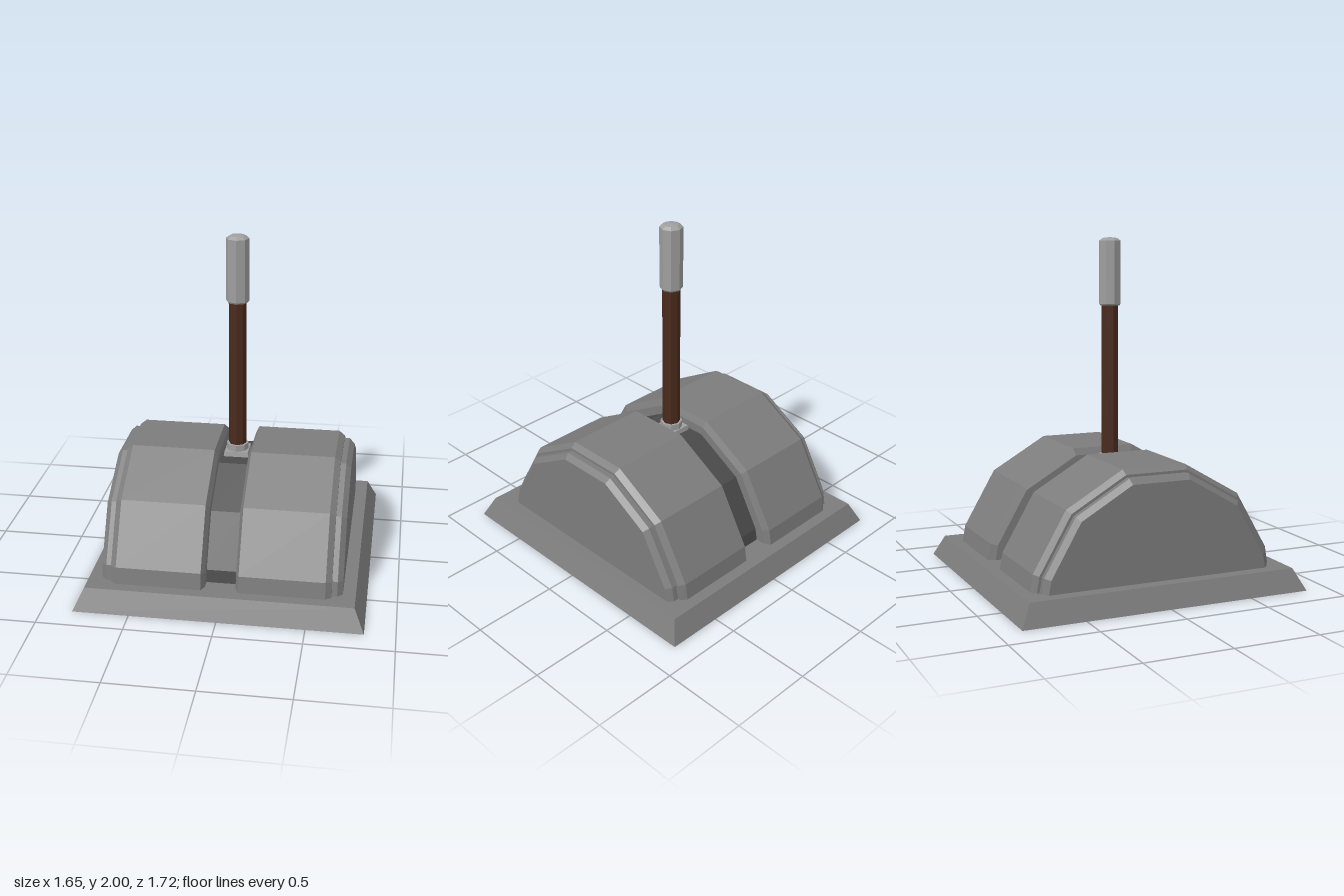
import * as THREE from 'three';

const BASE_TOP = 0.125;
const ARC_CENTER = 0.03;

const makeMaterial = (name, color, side = THREE.FrontSide) => {
  const m = new THREE.MeshStandardMaterial({ color, flatShading: true, side });
  m.name = name;
  return m;
};

// Half-drum profile (z, y), scaled about the drum axis, feet kept on the base
function drumProfile(s) {
  const half = [[0.735, BASE_TOP], [0.719, 0.222], [0.526, 0.556], [0.192, 0.75]];
  const all = [...half, ...half.slice().reverse().map(([z, y]) => [-z, y])];
  return all.map(([z, y]) => [z * s, y === BASE_TOP ? y : ARC_CENTER + (y - ARC_CENTER) * s]);
}

// Skin the profile through [x, scale] sections and close both ends
function drumGeometry(sections) {
  const pos = [], idx = [], n = 8, last = sections.length - 1;
  sections.forEach(([x, s]) => drumProfile(s).forEach(([z, y]) => pos.push(x, y, z)));
  for (let i = 0; i < last; i++) {
    for (let j = 0; j < n - 1; j++) {
      const a = i * n + j, b = a + n;
      idx.push(a, b, b + 1, a, b + 1, a + 1);
    }
  }
  for (let j = 1; j < n - 1; j++) {
    const e = last * n;
    idx.push(0, j, j + 1, e, e + j + 1, e + j);
  }
  const g = new THREE.BufferGeometry();
  g.setAttribute('position', new THREE.Float32BufferAttribute(pos, 3));
  g.setIndex(idx);
  g.computeVertexNormals();
  return g;
}

// Eight-sided turned part from [radius, y] points
const turned = (points) =>
  new THREE.LatheGeometry(points.map(([r, y]) => new THREE.Vector2(r, y)), 8);

export function createModel() {
  const model = new THREE.Group();
  model.name = 'floorLever';
  const bodyGray = makeMaterial('bodyGray', 0x7c7c7c, THREE.DoubleSide);
  const slotGray = makeMaterial('slotDarkGray', 0x4a4a4a);
  const lightMetal = makeMaterial('lightMetal', 0x9e9e9e);
  const wood = makeMaterial('darkWood', 0x4a2a1c);

  const add = (name, geometry, material, parent = model) => {
    const mesh = new THREE.Mesh(geometry, material);
    mesh.name = name;
    parent.add(mesh);
    return mesh;
  };

  // Sloped base, hollow underneath
  const base = new THREE.Group();
  base.name = 'base';
  model.add(base);
  const R = Math.SQRT2;
  const walls = new THREE.CylinderGeometry(R * 0.929, R, BASE_TOP, 4, 1, true);
  walls.rotateY(Math.PI / 4).scale(0.825, 1, 0.862).translate(0, BASE_TOP / 2, 0);
  add('baseWalls', walls, bodyGray, base);
  const plate = new THREE.PlaneGeometry(2 * 0.825 * 0.929, 2 * 0.862 * 0.929);
  plate.rotateX(-Math.PI / 2).translate(0, BASE_TOP, 0);
  add('basePlate', plate, bodyGray, base);

  // Two bevelled half drums with a stepped outer rim
  const drum = drumGeometry([
    [0.088, 0.944], [0.108, 1], [0.598, 1], [0.632, 0.965],
    [0.632, 0.944], [0.663, 0.944], [0.693, 0.903],
  ]);
  add('leftDrum', drum, bodyGray);
  add('rightDrum', drum, bodyGray).rotation.y = Math.PI;

  // Dark curved slot floor between the drums
  add('slotFloor', drumGeometry([[-0.1, 0.872], [0.1, 0.872]]), slotGray);

  // Lever: foot, collar, shaft and grip
  const lever = new THREE.Group();
  lever.name = 'lever';
  model.add(lever);
  const foot = new THREE.CylinderGeometry(R * 0.07, R * 0.076, 0.04, 4);
  foot.rotateY(Math.PI / 4).translate(0, 0.667, 0);
  add('leverFoot', foot, lightMetal, lever);
  add('leverCollar', turned([[0.066, 0.68], [0.066, 0.725], [0, 0.725]]), lightMetal, lever);
  add('leverShaft', turned([[0.052, 0.7], [0.052, 1.62]]), wood, lever);
  add('leverGrip', turned([[0, 1.605], [0.06, 1.605], [0.067, 1.615], [0.067, 1.98],
    [0.045, 1.995], [0, 2]]), lightMetal, lever);

  return model;
}
